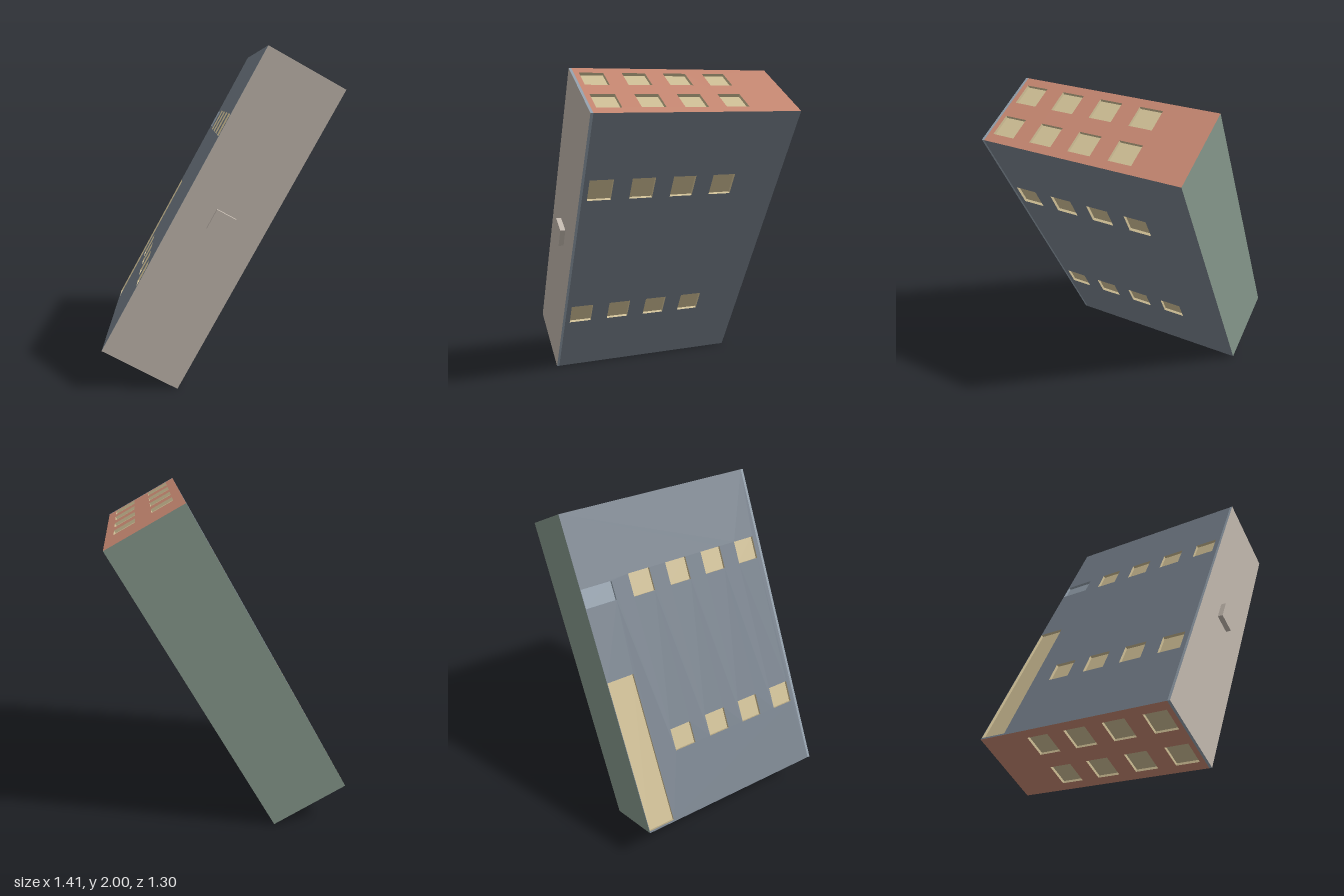
import * as THREE from 'three';

const W = 0.505, L = 2.003;            // plan width and length of the block
const Z0 = -0.65, Z1 = 0.602, ZR = 0.618; // ground, wall top, roof
const DEPTH = 0.017;                   // how far openings are set back
const SIZE = 0.143;                    // window size
const ROWS = [0.5, 0.245, -0.01, -0.265];

const mat = (color, side = THREE.FrontSide) =>
  new THREE.MeshStandardMaterial({ color, side });

const longWall = mat(0x76808b);
const endWall = mat(0xc48670);
const trim = mat(0x929fab);
const roofMat = mat(0xc2b8ae);
const baseMat = mat(0x84968a);
const tan = mat(0xcdbd94, THREE.DoubleSide);
const doorMat = mat(0x929fab, THREE.DoubleSide);

function add(parent, geometry, material, name, x = 0, y = 0, z = 0) {
  const mesh = new THREE.Mesh(geometry, material);
  mesh.name = name;
  mesh.position.set(x, y, z);
  parent.add(mesh);
  return mesh;
}

// Counter-clockwise rectangle corners
const corners = (x0, y0, x1, y1) =>
  [[x0, y0], [x1, y0], [x1, y1], [x0, y1]].map(p => new THREE.Vector2(...p));

// Shallow recess: a box without its outer (+z) side
function recess(w, h) {
  const g = new THREE.BoxGeometry(w, h, DEPTH);
  g.setIndex([...g.index.array].filter((_, i) => i < 24 || i >= 30));
  g.clearGroups();
  return g.translate(0, 0, -DEPTH / 2);
}

// Flat wall with openings; "along" runs to the right when facing the wall
function wall(name, along, width, dist, material, openings) {
  const g = new THREE.Group();
  g.name = name;
  const shape = new THREE.Shape(corners(-width / 2, Z0, width / 2, Z1));
  for (const o of openings) {
    shape.holes.push(new THREE.Path(
      corners(o.x - o.w / 2, o.y - o.h / 2, o.x + o.w / 2, o.y + o.h / 2).reverse()));
    add(g, recess(o.w, o.h), o.material, o.name, o.x, o.y, 0);
  }
  add(g, new THREE.ShapeGeometry(shape), material, name + 'Face');
  const up = new THREE.Vector3(0, 0, 1);
  const normal = new THREE.Vector3().crossVectors(along, up);
  g.quaternion.setFromRotationMatrix(new THREE.Matrix4().makeBasis(along, up, normal));
  g.position.copy(normal).multiplyScalar(dist);
  return g;
}

// Two columns of four windows
const windows = offset => [-offset, offset].flatMap(x =>
  ROWS.map(y => ({ x, y, w: SIZE, h: SIZE, material: tan, name: 'window' })));

// Opening that rises from the ground edge
const groundOpening = (x, w, top, material, name) => {
  const bottom = Z0 + 0.003;
  return { x, w, y: (bottom + top) / 2, h: top - bottom, material, name };
};

export function createModel() {
  const model = new THREE.Group();
  model.name = 'building';

  // The block lies with its roof to the front, tilted in the front plane
  const block = new THREE.Group();
  block.name = 'block';
  block.position.y = 1;
  block.rotation.z = -THREE.MathUtils.degToRad(28.74);
  model.add(block);

  const v = (x, y) => new THREE.Vector3(x, y, 0);

  // Long walls; the entrance side also has a door and a wide shop window
  block.add(wall('rearWall', v(0, 1), L, W / 2, longWall, windows(0.5)));
  block.add(wall('entranceWall', v(0, -1), L, W / 2, longWall, [
    ...windows(0.5),
    groundOpening(-0.5, 0.118, -0.45, doorMat, 'door'),
    groundOpening(0.502, 0.975, -0.475, tan, 'shopWindow'),
  ]));

  // End walls
  block.add(wall('upperEndWall', v(-1, 0), W, L / 2, endWall, windows(0.125)));
  block.add(wall('lowerEndWall', v(1, 0), W, L / 2, endWall, windows(0.125)));

  // Roof slab with a trim edge, and the chimney
  add(block, new THREE.BoxGeometry(W, L, ZR - Z1),
    [trim, trim, trim, trim, roofMat, trim], 'roofSlab', 0, 0, (Z1 + ZR) / 2);
  add(block, new THREE.BoxGeometry(0.125, 0.125, 0.65 - ZR),
    roofMat, 'chimney', 0, 0, (ZR + 0.65) / 2);

  // Underside of the building
  const base = add(block, new THREE.PlaneGeometry(W, L), baseMat, 'base', 0, 0, Z0);
  base.rotation.y = Math.PI;

  return model;
}
